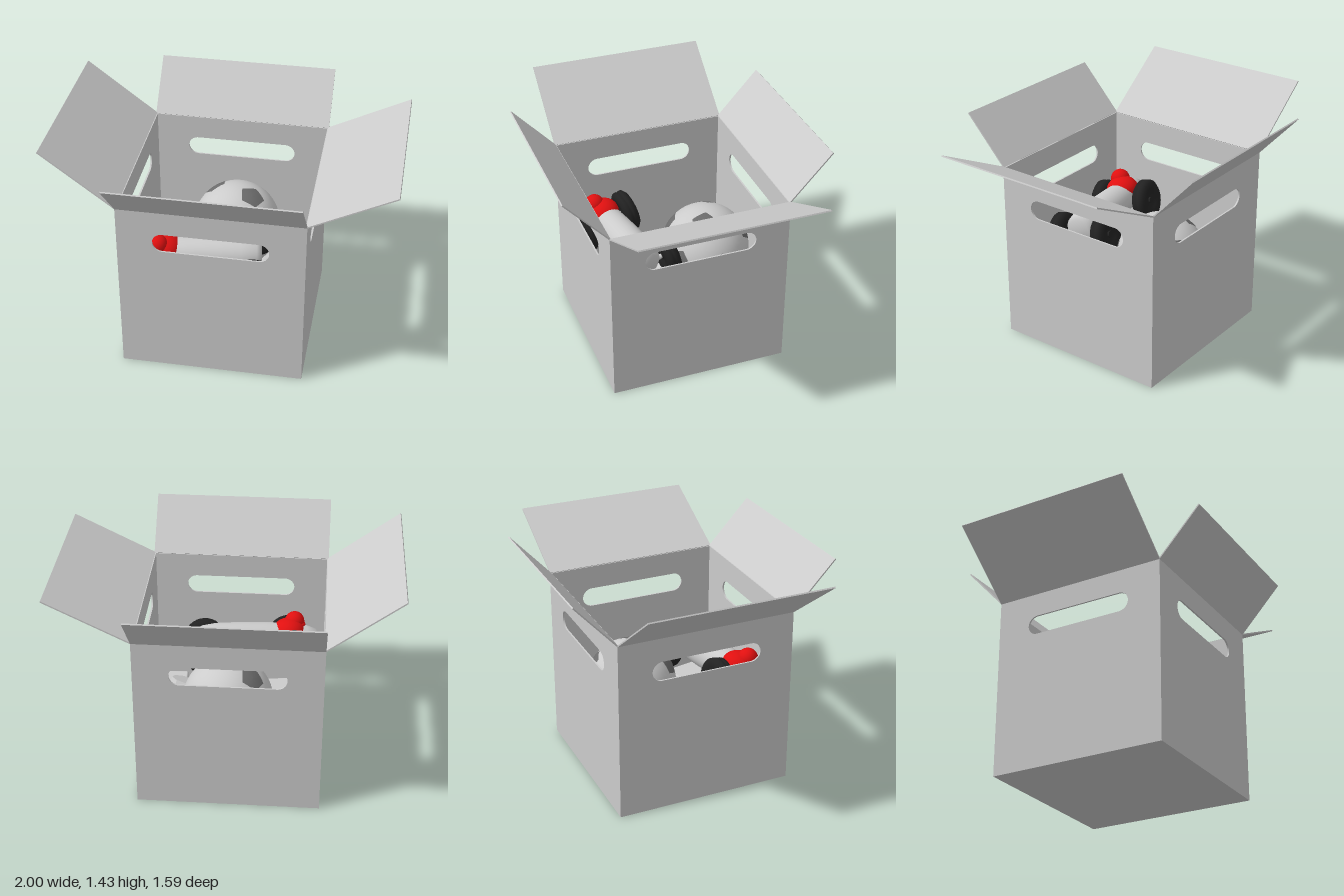
import * as THREE from 'three';
import { RoundedBoxGeometry } from 'three/addons/geometries/RoundedBoxGeometry.js';

const material = (color) => new THREE.MeshStandardMaterial({ color });
const grey = material(0xcccccc);
const red = material(0xe01010);
const black = material(0x222222);
const dark = material(0x6c6c6c);

function add(parent, name, geometry, mat = grey, x = 0, y = 0, z = 0) {
  const mesh = new THREE.Mesh(geometry, mat);
  mesh.name = name;
  mesh.position.set(x, y, z);
  parent.add(mesh);
  return mesh;
}

const lathe = (points, segments) =>
  new THREE.LatheGeometry(points.map(([r, y]) => new THREE.Vector2(r, y)), segments);

// Cardboard wall with a rounded handle slot
function wallGeometry(width, height, thickness) {
  const shape = new THREE.Shape();
  shape.moveTo(-width / 2, 0).lineTo(width / 2, 0).lineTo(width / 2, height).lineTo(-width / 2, height);
  const slot = new THREE.Path();
  const r = 0.059, half = 0.335 - r, y = 0.895;
  slot.absarc(half, y, r, -Math.PI / 2, Math.PI / 2, false);
  slot.absarc(-half, y, r, Math.PI / 2, Math.PI * 1.5, false);
  slot.closePath();
  shape.holes.push(slot);
  return new THREE.ExtrudeGeometry(shape, { depth: thickness, bevelEnabled: false, curveSegments: 12 });
}

function createCarton() {
  const carton = new THREE.Group();
  carton.name = 'carton';
  carton.position.set(-0.0325, 0, -0.005);
  const W = 1.085, D = 1.08, H = 1.1, t = 0.01;
  add(carton, 'floor', new THREE.BoxGeometry(W - 2 * t, t, D - 2 * t), grey, 0, t / 2, 0);
  // name, turn, distance from centre, wall width, flap width, flap length, flap angle
  const sides = [
    ['front', 0, D / 2, W, W, 0.382, 0.823],
    ['left', Math.PI / 2, W / 2, D - 2 * t, D, 0.548, 0.464],
    ['back', Math.PI, D / 2, W, W, 0.372, 0.833],
    ['right', -Math.PI / 2, W / 2, D - 2 * t, D, 0.535, 0.653],
  ];
  for (const [name, turn, out, width, flapWidth, length, angle] of sides) {
    const side = new THREE.Group();
    side.name = name + 'Side';
    side.rotation.y = turn;
    add(side, name + 'Wall', wallGeometry(width, H, t), grey, 0, 0, out - t);
    const flap = new THREE.BoxGeometry(flapWidth, 0.008, length).translate(0, 0, length / 2);
    add(side, name + 'Flap', flap, grey, 0, H, out - 0.004).rotation.x = -angle;
    carton.add(side);
  }
  return carton;
}

// Pentagon patch curved over a sphere, facing +z with one corner on +x
function patchGeometry(radius, size) {
  const geometry = new THREE.RingGeometry(0.001, size, 30, 3);
  const p = geometry.attributes.position, v = new THREE.Vector3(), fifth = Math.PI * 0.4;
  for (let i = 0; i < p.count; i++) {
    v.fromBufferAttribute(p, i);
    const a = (Math.atan2(v.y, v.x) + 2 * Math.PI + 1e-6) % fifth;
    v.multiplyScalar(Math.cos(fifth / 2) / Math.cos(a - fifth / 2));
    v.z = 1;
    v.setLength(radius);
    p.setXYZ(i, v.x, v.y, v.z);
  }
  geometry.computeVertexNormals();
  return geometry;
}

function createBall() {
  const ball = new THREE.Group();
  ball.name = 'ball';
  ball.position.set(-0.01, 0.54, -0.235);
  const R = 0.27;
  add(ball, 'ballSurface', new THREE.SphereGeometry(R, 48, 32));
  // Twelve patches at the corners of an icosahedron, set from one pole and one neighbour
  const pole = new THREE.Vector3(-0.556, 0.784, -0.278).normalize();
  const near = new THREE.Vector3(0.37, 0.914, 0.167);
  const u = near.addScaledVector(pole, -near.dot(pole)).normalize();
  const w = new THREE.Vector3().crossVectors(pole, u);
  const patch = patchGeometry(R * 1.004, 0.31);
  const addPatch = (normal, toward) => {
    const x = toward.clone().addScaledVector(normal, -toward.dot(normal)).normalize();
    const y = new THREE.Vector3().crossVectors(normal, x);
    const mesh = add(ball, 'ballPatch', patch, dark);
    mesh.quaternion.setFromRotationMatrix(new THREE.Matrix4().makeBasis(x, y, normal));
  };
  for (const sign of [1, -1]) {
    const top = pole.clone().multiplyScalar(sign);
    addPatch(top, u.clone().multiplyScalar(sign));
    for (let i = 0; i < 5; i++) {
      const a = i * Math.PI * 0.4;
      const n = u.clone().multiplyScalar(2 * Math.cos(a)).addScaledVector(w, 2 * Math.sin(a))
        .add(pole).multiplyScalar(sign / Math.sqrt(5));
      addPatch(n, top);
    }
  }
  return ball;
}

function createCar() {
  const car = new THREE.Group();
  car.name = 'toyCar';
  car.position.set(-0.1, 0.66, 0.265);
  car.rotation.set(0.22, 0.15, 0, 'YXZ');
  // Tapered body with a blunt tail, nose toward -x
  const body = lathe([[0, -0.32], [0.07, -0.32], [0.095, -0.29], [0.108, -0.2], [0.108, -0.05], [0.102, 0.1],
    [0.092, 0.25], [0.075, 0.36], [0.05, 0.42], [0.02, 0.435], [0, 0.437]], 32).rotateZ(Math.PI / 2);
  add(car, 'carBody', body);
  // Driver leaning out of the cockpit
  add(car, 'driverBody', new THREE.SphereGeometry(1, 28, 18), red, -0.25, 0.045, 0).scale.set(0.1, 0.08, 0.1);
  add(car, 'driverHead', new THREE.SphereGeometry(0.06, 24, 16), red, -0.29, 0.1, 0.025);
  add(car, 'driverCollar', new THREE.TorusGeometry(0.052, 0.015, 8, 28).rotateX(Math.PI / 2), red, -0.29, 0.078, 0.025);
  // Wheels with stepped sidewalls
  const tyre = lathe([[0, -0.025], [0.045, -0.025], [0.05, -0.038], [0.08, -0.038], [0.085, -0.045], [0.11, -0.042],
    [0.13, -0.025], [0.13, -0.006], [0.123, 0], [0.13, 0.006], [0.13, 0.025], [0.11, 0.042], [0.085, 0.045],
    [0.08, 0.038], [0.05, 0.038], [0.045, 0.025], [0, 0.025]], 32).rotateX(Math.PI / 2);
  for (const x of [-0.265, 0.265]) {
    add(car, 'axle', new THREE.CylinderGeometry(0.015, 0.015, 0.3, 12).rotateX(Math.PI / 2), grey, x, -0.04, 0);
    for (const z of [-0.15, 0.15]) {
      add(car, 'wheel', tyre, black, x, -0.04, z);
      add(car, 'hub', new THREE.CylinderGeometry(0.02, 0.02, 0.07, 12).rotateX(Math.PI / 2), black, x, -0.04, z);
    }
  }
  return car;
}

function createBlocks() {
  const blocks = new THREE.Group();
  blocks.name = 'toyBlocks';
  // x, y, z, width, height, depth, turn
  const list = [
    [-0.41, 0.1, -0.395, 0.17, 0.17, 0.16, 0.1], [-0.36, 0.1, -0.235, 0.17, 0.17, 0.15, 0.25],
    [-0.37, 0.16, -0.03, 0.3, 0.28, 0.19, 0.1], [-0.16, 0.1, -0.42, 0.16, 0.17, 0.16, -0.2],
    [0.13, 0.1, -0.43, 0.14, 0.17, 0.14, -0.6], [0.36, 0.2, -0.11, 0.21, 0.38, 0.19, -0.05],
    [0.35, 0.14, 0.2, 0.22, 0.25, 0.15, 0.03], [0.27, 0.1, 0.41, 0.38, 0.17, 0.15, 0.02],
    [0.38, 0.23, 0.38, 0.16, 0.1, 0.14, 0.05], [-0.1, 0.1, 0.38, 0.16, 0.17, 0.16, 0.2],
    [-0.43, 0.1, 0.37, 0.16, 0.17, 0.16, 0.1], [-0.32, 0.2, 0.17, 0.22, 0.36, 0.2, 0.15],
    [-0.02, 0.13, -0.18, 0.26, 0.24, 0.26, 0.4], [0.08, 0.24, 0.2, 0.22, 0.46, 0.2, 0.2],
    [-0.17, 0.12, 0.08, 0.18, 0.2, 0.18, -0.3],
  ];
  for (const [x, y, z, w, h, d, turn] of list)
    add(blocks, 'block', new RoundedBoxGeometry(w, h, d, 2, 0.01), grey, x, y, z).rotation.y = turn;
  // Faceted peg and a roof-shaped block
  const peg = new THREE.CylinderGeometry(0.08, 0.11, 0.3, 8).toNonIndexed();
  peg.computeVertexNormals();
  add(blocks, 'peg', peg, grey, 0.32, 0.33, 0.02).rotation.set(0.3, 0.2, 0.25);
  const roof = new THREE.CylinderGeometry(0.12, 0.12, 0.16, 3).toNonIndexed();
  roof.computeVertexNormals();
  add(blocks, 'roofBlock', roof, grey, -0.02, 0.36, 0.09).rotation.set(0.4, 0.5, 0.2);
  return blocks;
}

export function createModel() {
  const model = new THREE.Group();
  model.name = 'toyBox';
  model.add(createCarton(), createBall(), createCar(), createBlocks());
  return model;
}
